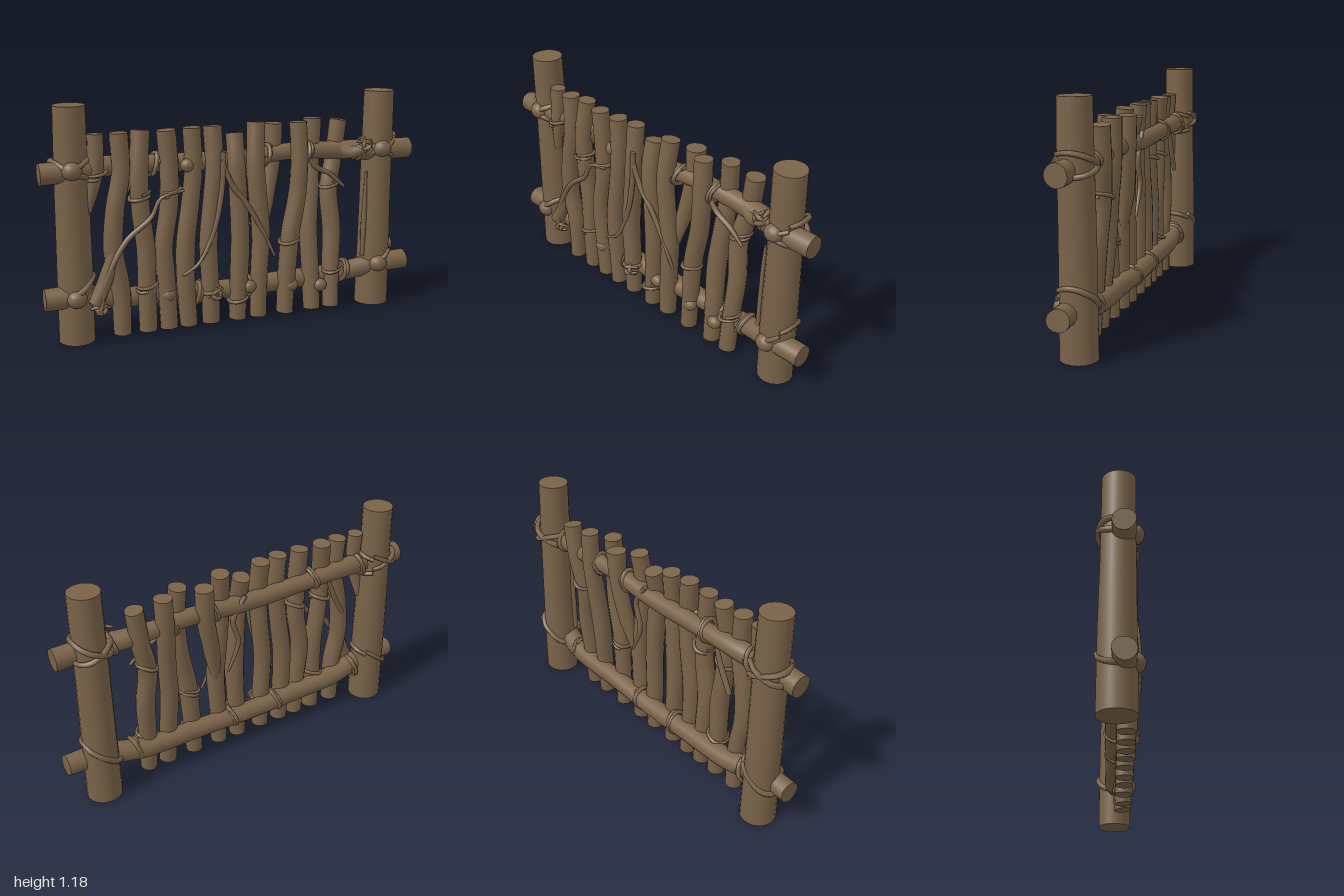
import * as THREE from 'three';

const bark = new THREE.MeshStandardMaterial({ color: 0x7a6349 });
bark.name = 'bark brown';

// Closed limb: a tube along points whose radius follows a list, with flat end caps and slight bark wobble
function limb(name, points, radii, sides = 14, wobble = 0.03, segs = 28) {
  const curve = new THREE.CatmullRomCurve3(points.map((p) => new THREE.Vector3(...p)), false, 'centripetal');
  const tube = new THREE.TubeGeometry(curve, segs, 1, sides);
  const pos = tube.attributes.position, nor = tube.attributes.normal;
  const seed = points[0][0] * 17 + points[0][1] * 5;
  const p = new THREE.Vector3(), n = new THREE.Vector3();
  for (let i = 0; i <= segs; i++) {
    const s = (i / segs) * (radii.length - 1), k = Math.min(Math.floor(s), radii.length - 2);
    const base = THREE.MathUtils.lerp(radii[k], radii[k + 1], s - k);
    for (let j = 0; j <= sides; j++) {
      const id = i * (sides + 1) + j, a = (j / sides) * Math.PI * 2;
      const r = base * (1 + wobble * Math.sin(2 * a + seed + i * 0.2) + wobble * 0.6 * Math.sin(3 * a - seed * 2 + i * 0.35));
      p.fromBufferAttribute(pos, id);
      n.fromBufferAttribute(nor, id);
      p.addScaledVector(n, r - 1);
      pos.setXYZ(id, p.x, p.y, p.z);
    }
  }
  const group = new THREE.Group();
  group.name = name;
  const side = new THREE.Mesh(tube, bark);
  side.name = name + 'Side';
  group.add(side);
  // End caps
  for (const end of [0, 1]) {
    const ring = [], c = curve.getPointAt(end), dir = curve.getTangentAt(end).multiplyScalar(end ? 1 : -1);
    for (let j = 0; j <= sides; j++) ring.push(new THREE.Vector3().fromBufferAttribute(pos, end * segs * (sides + 1) + j));
    const flip = ring[0].clone().sub(c).cross(ring[1].clone().sub(c)).dot(dir) < 0;
    const pts = [];
    for (let j = 0; j < sides; j++) pts.push(c, ring[flip ? j + 1 : j], ring[flip ? j : j + 1]);
    const geo = new THREE.BufferGeometry().setFromPoints(pts);
    geo.computeVertexNormals();
    const cap = new THREE.Mesh(geo, bark);
    cap.name = name + 'End';
    group.add(cap);
  }
  return group;
}

// Vine wound around an upright ('y') or level ('x') limb
function coil([x, y, z], axis, R, turns, tilt, r, phase) {
  const pts = [], count = Math.ceil(turns * 12);
  for (let i = 0; i <= count; i++) {
    const a = phase + (i / 12) * Math.PI * 2, rr = R * (1 + 0.05 * Math.sin(i * 1.7));
    const along = tilt * Math.cos(a) + 0.025 * (i / count - 0.5);
    const u = rr * Math.cos(a), w = rr * Math.sin(a);
    pts.push(axis === 'y' ? [x + u, y + along, z + w] : [x + along, y + u, z + w]);
  }
  return limb('vineWrap', pts, [r * 0.7, r, r, r * 0.7], 7, 0.05, count * 3);
}

function knot(x, y, z, size) {
  const m = new THREE.Mesh(new THREE.SphereGeometry(size, 14, 10), bark);
  m.name = 'knot';
  m.position.set(x, y, z);
  m.scale.set(1, 0.88, 0.8);
  return m;
}

export function createModel() {
  const g = new THREE.Group();
  g.name = 'rusticFence';

  // Posts with lashings crossing at the back and rounded lumps at the front
  for (const x of [-0.84, 0.825]) {
    g.add(limb('post', [[x, 0, -0.01], [x, 0.6, -0.006], [x, 1.18, 0]], [0.091, 0.088, 0.083, 0.079], 18, 0.012));
    [[0.89, 0.045], [0.87, -0.04], [0.27, 0.07]].forEach(([y, tilt]) => g.add(coil([x, y, -0.008], 'y', 0.092, 1, tilt, 0.015, x)));
    for (const y of [0.875, 0.238]) g.add(knot(x - 0.01, y, 0.075, 0.05));
  }

  // Rails: heights along the length; thicker and further forward at the posts
  const railX = [-1, -0.84, -0.6, -0.3, 0, 0.3, 0.6, 0.83, 1];
  const rail = (name, heights, mid) => g.add(limb(name,
    railX.map((x, i) => [x, heights[i], Math.abs(x) > 0.7 ? 0.02 : -0.01]),
    railX.map((x) => (Math.abs(x) > 0.7 ? 0.055 : mid)), 16, 0.03, 60));
  rail('upperRail', [0.86, 0.865, 0.875, 0.865, 0.86, 0.88, 0.87, 0.862, 0.86], 0.046);
  rail('lowerRail', [0.235, 0.235, 0.195, 0.182, 0.17, 0.18, 0.188, 0.225, 0.23], 0.051);

  // Upright sticks: top y, top z, then x from top to bottom
  const levels = [0.84, 0.66, 0.45, 0.25, 0.02];
  const sticks = [
    [1.04, 0.035, -0.612, -0.607, -0.64, -0.655, -0.622, -0.617],
    [1.045, 0.02, -0.5, -0.517, -0.512, -0.488, -0.487, -0.484],
    [1.04, 0.04, -0.375, -0.362, -0.365, -0.394, -0.383, -0.371],
    [1.045, 0.037, -0.242, -0.235, -0.252, -0.28, -0.28, -0.265],
    [1.045, 0.022, -0.127, -0.125, -0.14, -0.157, -0.15, -0.145],
    [1, 0.01, -0.007, -0.005, 0.007, 0.016, 0.01, 0.003],
    [1.05, 0.015, 0.11, 0.1, 0.113, 0.132, 0.125, 0.12],
    [1.04, 0.027, 0.34, 0.347, 0.338, 0.3, 0.285, 0.275],
    [1.045, -0.037, 0.452, 0.447, 0.438, 0.424, 0.43, 0.435],
    [1.03, -0.037, 0.605, 0.582, 0.545, 0.56, 0.552, 0.547],
  ];
  for (const [topY, topZ, topX, ...xs] of sticks) {
    // Sticks starting behind the upper rail lean forward to pass in front of the lower one
    const start = topZ < 0 ? -0.035 : 0.04;
    const pts = xs.map((x, i) => [x, levels[i], THREE.MathUtils.lerp(start, 0.035, i / 4)]);
    g.add(limb('fenceStick', [[topX, topY, topZ], ...pts], [0.047, 0.047, 0.048, 0.049, 0.047, 0.045]));
  }
  // Short sticks and side branches that taper away
  g.add(limb('shortStick', [[-0.725, 1.04, 0.03], [-0.73, 0.87, 0.035], [-0.77, 0.66, 0.02]], [0.04, 0.04, 0.02]));
  g.add(limb('shortStick', [[0.23, 1.03, -0.037], [0.225, 0.87, -0.035], [0.19, 0.68, -0.02], [0.14, 0.42, 0.02]], [0.05, 0.045, 0.042, 0.02]));
  g.add(limb('branch', [[-0.76, 0.2, 0.06], [-0.71, 0.3, 0.06], [-0.64, 0.52, 0.06]], [0.04, 0.035, 0.02], 10));
  g.add(limb('branch', [[0.6, 0.87, 0], [0.66, 0.86, 0.03], [0.74, 0.89, 0.06]], [0.04, 0.035, 0.02], 10));

  // Loose vines: depth, then x and y along the path
  const vines = [
    [0.085, [-0.74, 0.16], [-0.7, 0.33], [-0.6, 0.51], [-0.47, 0.62], [-0.42, 0.71], [-0.3, 0.74]],
    [0.082, [-0.09, 0.92], [-0.1, 0.72], [-0.15, 0.5], [-0.23, 0.35], [-0.31, 0.3]],
    [0.08, [-0.1, 0.88], [-0.04, 0.74], [0.03, 0.65], [0.12, 0.5], [0.195, 0.35]],
    [0.04, [0.38, 0.88], [0.44, 0.8], [0.53, 0.75], [0.61, 0.68]],
    [-0.04, [0, 0.92], [0.07, 0.8], [0.04, 0.66], [0.1, 0.5]],
    [-0.035, [-0.62, 0.62], [-0.55, 0.76], [-0.5, 0.9]],
    [0.035, [0.735, 0.28], [0.74, 0.5], [0.745, 0.75]],
  ];
  for (const [z, ...path] of vines) {
    g.add(limb('vine', path.map(([x, y]) => [x, y, z]), [0.012, 0.015, 0.013, 0.007], 8, 0.05, 32));
  }

  // Bindings round the rails
  for (const x of [-0.73, -0.43, 0.17, 0.4, 0.72]) g.add(coil([x, 0.87, 0], 'x', 0.054, 1.8, 0.015, 0.011, x * 9));
  for (const x of [-0.73, -0.21, 0.065, 0.63]) g.add(coil([x, x * x * 0.07 + 0.172, 0], 'x', 0.056, 1.8, 0.015, 0.011, x * 9));

  // Bindings round the sticks
  [[-0.517, 0.72], [-0.355, 0.73], [0.292, 0.41], [0.552, 0.23], [-0.487, 0.25], [-0.148, 0.19], [0.005, 0.13], [-0.725, 0.84]]
    .forEach(([x, y], i) => g.add(coil([x, y, 0.037], 'y', 0.05, 1.2, 0.012, 0.01, i * 2)));
  g.add(coil([0.55, 0.69, -0.025], 'y', 0.05, 1.2, 0.015, 0.01, 0));

  // Tangled twigs and rail knots
  for (const [x, y, z] of [[0.72, 0.9, 0.06], [-0.13, 0.18, 0.08], [-0.73, 0.17, 0.065]]) {
    for (let i = 0; i < 4; i++) {
      const a = i * 1.9 + x, dx = 0.05 * Math.cos(a), dy = 0.035 * Math.sin(a);
      g.add(limb('twig', [[x - dx, y - dy, z - 0.02], [x + dy * 0.5, y - dx * 0.4, z + 0.018], [x + dx, y + dy, z - 0.01]], [0.006, 0.012, 0.006], 7, 0.05, 12));
    }
  }
  [[-0.27, 0.86], [0.47, 0.15], [-0.38, 0.2], [0.3, 0.17], [0.06, 0.19]].forEach(([x, y]) => g.add(knot(x, y, 0.058, 0.04)));

  return g;
}
